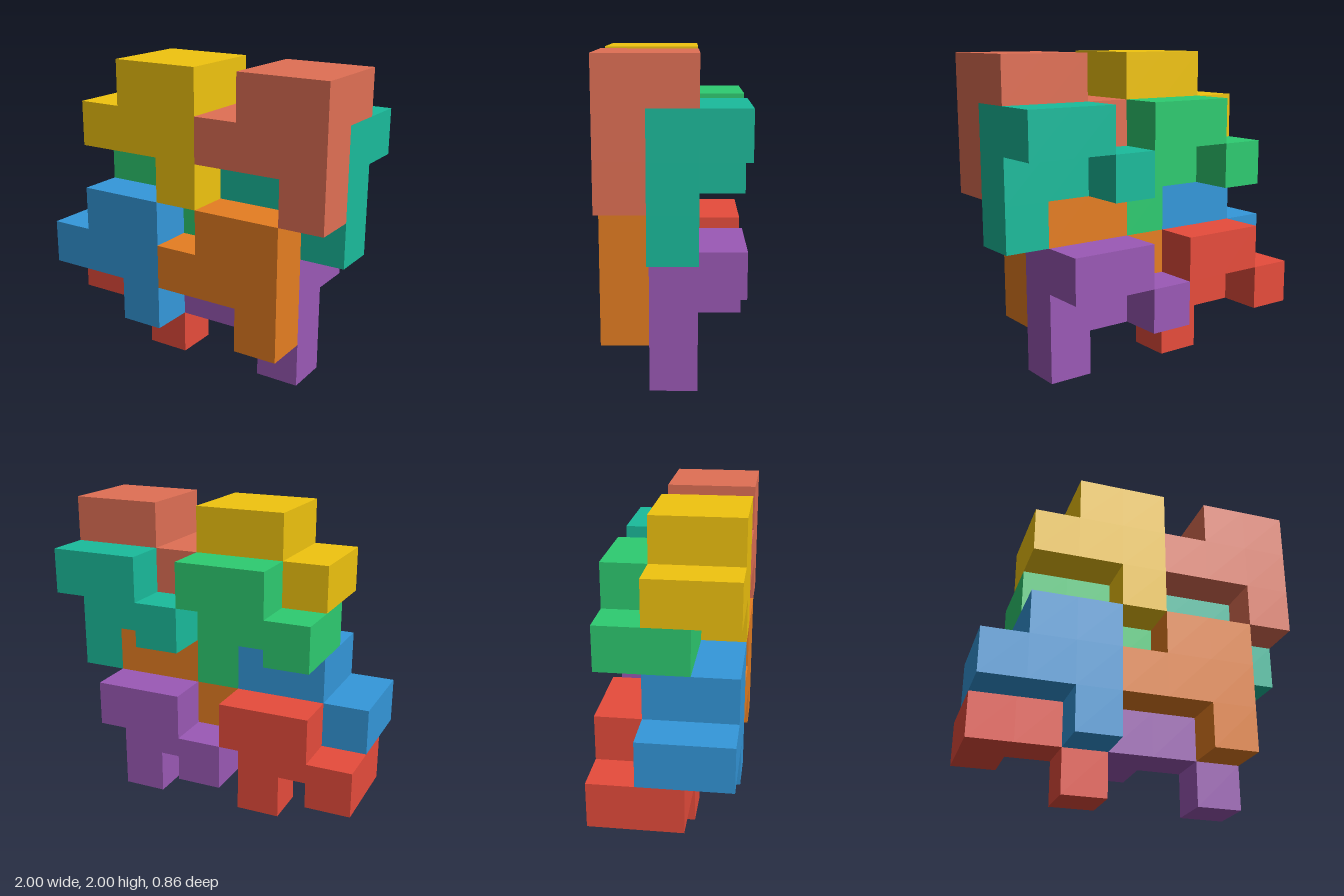
import * as THREE from 'three';
import { mergeGeometries } from 'three/addons/utils/BufferGeometryUtils.js';

const U = 2 / 7; // edge of one unit cube

// Cells of one interlocking piece: a six-cube front layer and three cubes behind it
const CELLS = [
  [1, 2, 0], [2, 2, 0], [0, 1, 0], [1, 1, 0], [2, 1, 0], [2, 0, 0],
  [1, 2, -1], [2, 2, -1], [0, 1, -1],
];

// Outer skin of a set of cubes: one square wherever a cube has no neighbour
function skin(cells) {
  const filled = new Set(cells.map(String));
  const front = new THREE.Vector3(0, 0, 1);
  const faces = [];
  for (const c of cells) {
    for (let axis = 0; axis < 3; axis++) {
      for (const sign of [-1, 1]) {
        const dir = [0, 0, 0];
        dir[axis] = sign;
        if (filled.has(String(c.map((v, i) => v + dir[i])))) continue;
        const normal = new THREE.Vector3(...dir);
        const face = new THREE.PlaneGeometry(U, U).translate(0, 0, U / 2);
        if (axis === 2 && sign < 0) face.rotateY(Math.PI);
        else face.applyQuaternion(new THREE.Quaternion().setFromUnitVectors(front, normal));
        faces.push(face.translate((c[0] + 0.5) * U, (c[1] + 0.5) * U, c[2] * U));
      }
    }
  }
  return mergeGeometries(faces);
}

export function createModel() {
  const model = new THREE.Group();
  model.name = 'interlockingBlocks';
  const geometry = skin(CELLS);

  // Name, colour and grid position (column, row, layer) of each identical piece
  const pieces = [
    ['upperFrontRightPiece', 0xf1c40f, 1, 4, 1],
    ['upperFrontLeftPiece', 0xe17055, 4, 4, 1],
    ['upperBackRightPiece', 0x2ecc71, 1, 3, 0],
    ['upperBackLeftPiece', 0x1abc9c, 4, 3, 0],
    ['lowerFrontRightPiece', 0x3498db, 0, 1, 1],
    ['lowerFrontLeftPiece', 0xe67e22, 3, 1, 1],
    ['lowerBackRightPiece', 0xe74c3c, 0, 0, 0],
    ['lowerBackLeftPiece', 0x9b59b6, 3, 0, 0],
  ];
  for (const [name, color, col, row, layer] of pieces) {
    const piece = new THREE.Mesh(geometry, new THREE.MeshStandardMaterial({ color }));
    piece.name = name;
    piece.position.set(col * U - 1, row * U, layer * U);
    model.add(piece);
  }
  return model;
}
